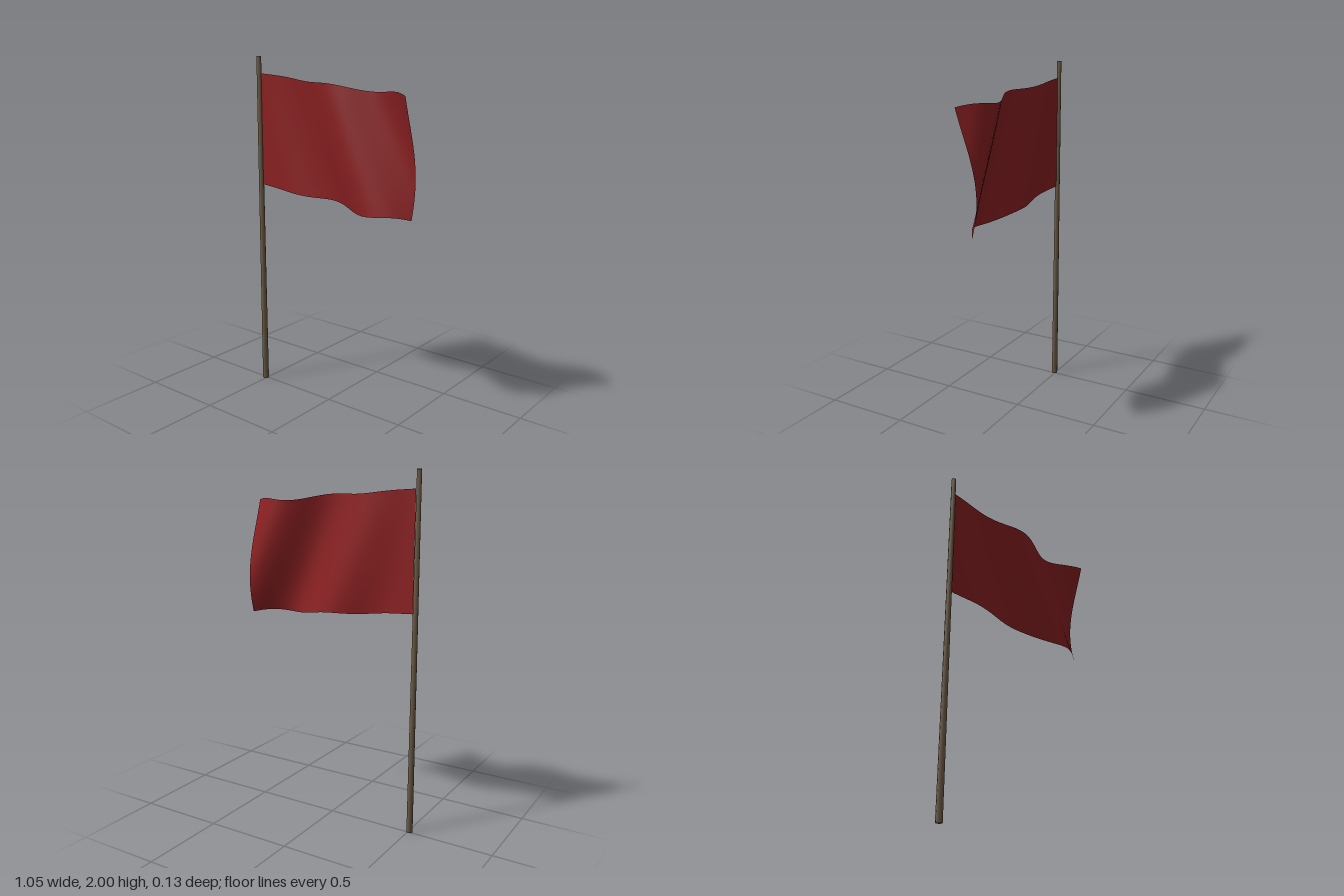
import * as THREE from 'three';
import { mergeVertices } from 'three/addons/utils/BufferGeometryUtils.js';

export function createModel() {
  const model = new THREE.Group();
  model.name = 'flagOnPole';

  const wood = new THREE.MeshStandardMaterial({ color: 0x6b5b45 });
  wood.name = 'weathered wood';
  const cloth = new THREE.MeshStandardMaterial({ color: 0x8b2022, side: THREE.DoubleSide });
  cloth.name = 'red cloth';

  // Tapered pole, shaded smoothly across its end caps
  let poleGeometry = new THREE.CylinderGeometry(0.0135, 0.0185, 2, 8);
  poleGeometry.deleteAttribute('uv');
  poleGeometry.deleteAttribute('normal');
  poleGeometry = mergeVertices(poleGeometry);
  poleGeometry.computeVertexNormals();
  const pole = new THREE.Mesh(poleGeometry, wood);
  pole.name = 'pole';
  pole.position.set(-0.509, 1, 0.007);
  model.add(pole);

  // Flag: a sheet with slanting waves that grow towards the free edge
  const left = -0.493, width = 1.018, height = 0.648, topY = 1.903;
  const flagGeometry = new THREE.PlaneGeometry(1, 1, 40, 20);
  const p = flagGeometry.attributes.position;
  for (let i = 0; i < p.count; i++) {
    const u = p.getX(i) + 0.5; // 0 at the pole, 1 at the free edge
    const v = 0.5 - p.getY(i); // 0 at the top, 1 at the bottom
    const x = left + width * u;
    const sag = -0.091 * u + 0.014 * u * Math.cos((2 * Math.PI * (x - 0.45)) / 0.43);
    const wave = 0.073 * u * Math.cos((2 * Math.PI * (x + 0.02 - 0.32 * v)) / 0.64);
    p.setXYZ(i, x, topY - height * v + sag, 0.007 + wave);
  }
  flagGeometry.computeVertexNormals();
  const flag = new THREE.Mesh(flagGeometry, cloth);
  flag.name = 'flag';
  model.add(flag);

  return model;
}
